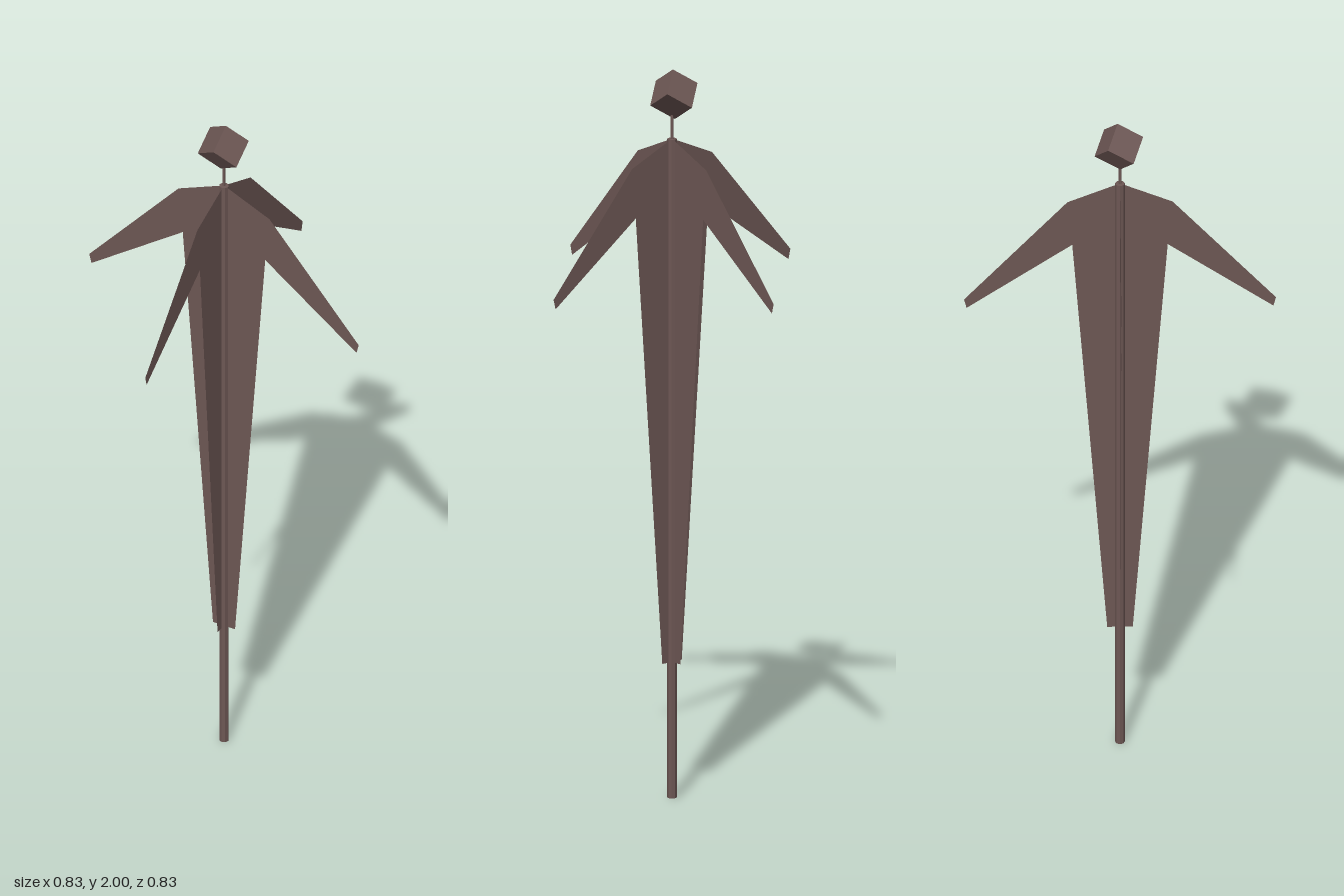
import * as THREE from 'three';

export function createModel() {
  const model = new THREE.Group();
  const wood = new THREE.MeshStandardMaterial({ color: 0x6d5754, flatShading: true, side: THREE.DoubleSide });
  wood.name = 'dark brown';

  const add = (name, geometry) => {
    const mesh = new THREE.Mesh(geometry, wood);
    mesh.name = name;
    model.add(mesh);
    return mesh;
  };

  // Pole and thin neck
  const rod = (name, radius, bottom, top, sides) => {
    add(name, new THREE.CylinderGeometry(radius, radius, top - bottom, sides)).position.y = (bottom + top) / 2;
  };
  rod('pole', 0.013, 0, 1.81, 8);
  rod('neck', 0.004, 1.8, 1.9, 6);

  // Flat body silhouette with drooping arms, mirrored about the pole
  const half = [[0.14, 1.75], [0.415, 1.437], [0.408, 1.41], [0.127, 1.612], [0.034, 0.372]];
  const outline = [[0, 1.81], ...half, ...half.map(([x, y]) => [-x, y]).reverse()];
  const shape = new THREE.Shape(outline.map(([x, y]) => new THREE.Vector2(x, y)));

  // Two crossed panels
  ['sidewaysPanel', 'lengthwisePanel'].forEach((name, i) => {
    add(name, new THREE.ShapeGeometry(shape)).rotation.y = i * Math.PI / 2;
  });

  // Cube head balanced near one corner; axes are its three edges below the top corner
  const a = new THREE.Vector3(0.051, -0.054, -0.036).normalize();
  const b = new THREE.Vector3(-0.064, -0.044, -0.027);
  b.addScaledVector(a, -a.dot(b)).normalize();
  const c = new THREE.Vector3().crossVectors(a, b);
  const head = add('head', new THREE.BoxGeometry(0.081, 0.081, 0.081));
  head.quaternion.setFromRotationMatrix(new THREE.Matrix4().makeBasis(a, b, c));
  head.position.set(-0.004, 1.932, -0.003);

  return model;
}
